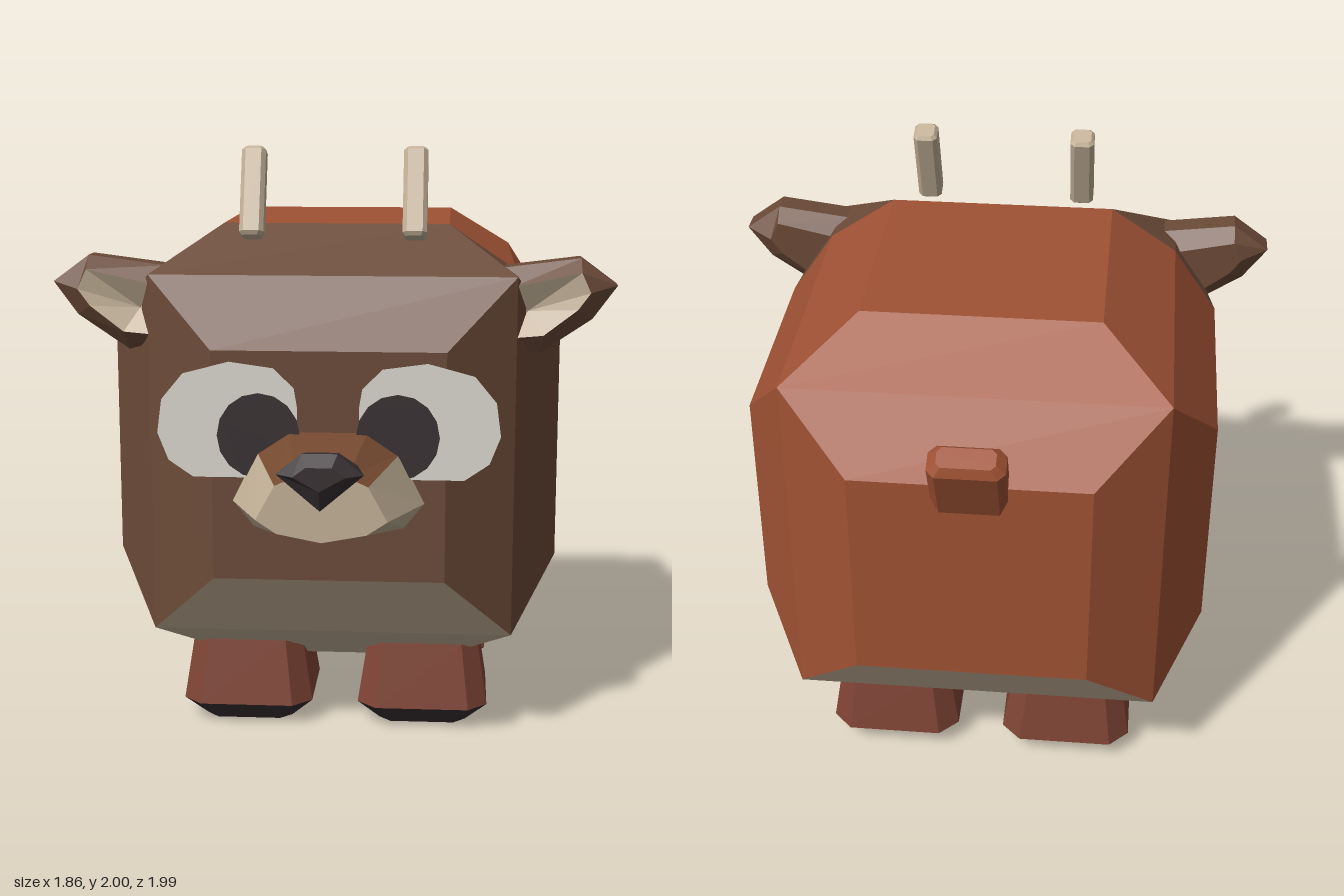
import * as THREE from 'three';

const mat = (name, color, side = THREE.FrontSide) => {
  const m = new THREE.MeshStandardMaterial({ color, side });
  m.name = name;
  return m;
};

export function createModel() {
  const M = {
    coat: mat('rust coat', 0xa05234),
    face: mat('brown face', 0x6b4a38),
    bridge: mat('muzzle brown', 0x74492f),
    cream: mat('cream', 0xc4b298),
    leg: mat('red brown leg', 0x7f4435),
    dark: mat('near black', 0x383032, THREE.DoubleSide),
    white: mat('eye white', 0xdcd8cf, THREE.DoubleSide),
  };
  const model = new THREE.Group();
  model.name = 'animal';

  // One flat-shaded mesh per colour from convex polygons: bins = { colour: [polygon, ...] }
  function build(name, bins) {
    const group = new THREE.Group();
    group.name = name;
    for (const key of Object.keys(bins)) {
      const pos = [];
      for (const p of bins[key])
        for (let i = 1; i < p.length - 1; i++) pos.push(...p[0], ...p[i], ...p[i + 1]);
      const g = new THREE.BufferGeometry();
      g.setAttribute('position', new THREE.Float32BufferAttribute(pos, 3));
      g.computeVertexNormals();
      const mesh = new THREE.Mesh(g, M[key]);
      mesh.name = name + ' ' + M[key].name;
      group.add(mesh);
    }
    model.add(group);
    return group;
  }

  // Skin over counter-clockwise rings stacked along z; pick(section, side) names the colour
  function loft(rings, pick) {
    const bins = {};
    const put = (key, poly) => (bins[key] ??= []).push(poly);
    const n = rings[0].length, last = rings.length - 1;
    for (let i = 0; i < last; i++)
      for (let j = 0; j < n; j++) {
        const k = (j + 1) % n;
        put(pick(i, j), [rings[i][j], rings[i][k], rings[i + 1][k], rings[i + 1][j]]);
      }
    put(pick(-1, 0), [...rings[0]].reverse());
    put(pick(last, 0), rings[last]);
    return bins;
  }
  const ring = (pts, z) => pts.map(([x, y]) => [x, y, z]);

  // Rectangle with cut corners
  const octagon = (w, h, c, z) => ring([
    [w, -h + c], [w, h - c], [w - c, h], [c - w, h],
    [-w, h - c], [-w, c - h], [c - w, -h], [w - c, -h],
  ], z);

  // Upright chamfered post whose base sits at the origin
  const post = (name, rings, pick) => {
    const g = build(name, loft(rings, pick));
    g.children.forEach((m) => m.geometry.rotateX(-Math.PI / 2));
    return g;
  };

  // Body: a cube with a bevelled cap on each side, face colour ahead of a cross plane
  const OUT = 0.757, IN = 0.38, EDGE = 0.605, CENTRE = [0, 0.98, -0.1425];
  const body = {};
  const addBody = (key, poly) => {
    const v = poly.map((p) => new THREE.Vector3(...p));
    const nrm = v[1].clone().sub(v[0]).cross(v[2].clone().sub(v[0]));
    if (nrm.dot(v[0]) < 0) poly.reverse();
    (body[key] ??= []).push(poly.map((p) => p.map((c, i) => c + CENTRE[i])));
  };
  for (let a = 0; a < 3; a++) for (const s of [-1, 1]) {
    const base = a === 2 && s > 0 ? 'face' : a === 1 && s < 0 ? 'cream' : 'coat';
    const at = (b, c, d, u, v) => {
      const p = [0, 0, 0];
      p[a] = s * d; p[b] = u; p[c] = v;
      return p;
    };
    const b0 = (a + 1) % 3, c0 = (a + 2) % 3;
    addBody(base, [[-1, -1], [1, -1], [1, 1], [-1, 1]].map(([u, v]) => at(b0, c0, OUT, u * IN, v * IN)));
    for (const [b, c] of [[b0, c0], [c0, b0]]) for (const t of [-1, 1]) {
      const i0 = at(b, c, OUT, t * IN, -IN), i1 = at(b, c, OUT, t * IN, IN);
      const o0 = at(b, c, EDGE, t * EDGE, -EDGE), o1 = at(b, c, EDGE, t * EDGE, EDGE);
      if (c === 2) {
        const cut = at(b, c, EDGE, t * EDGE, IN);
        addBody('coat', [i0, i1, cut, o0]);
        addBody('face', [i1, cut, o1]);
      } else {
        const front = (a === 2 ? s : b === 2 ? t : 0) > 0;
        const belly = (a === 2 && b === 1 && t < 0) || (a === 1 && s < 0);
        addBody(belly ? 'cream' : front ? 'face' : 'coat', [i0, i1, o1, o0]);
      }
    }
  }
  build('body', body);

  // Legs with dark hooves
  for (const x of [-0.305, 0.305]) for (const z of [0.165, -0.44]) {
    const leg = post(z > 0 ? 'frontLeg' : 'backLeg', [
      octagon(0.15, 0.15, 0.04, 0),
      octagon(0.225, 0.225, 0.065, 0.075),
      octagon(0.19, 0.19, 0.055, 0.3),
    ], (i) => (i < 1 ? 'dark' : 'leg'));
    leg.position.set(x, 0, z);
  }

  // Muzzle: brown bridge above cream cheeks
  const mirrored = (half) => [...half, ...half.slice().reverse().filter(([x]) => x > 0).map(([x, y]) => [-x, y])];
  build('muzzle', loft([
    ring(mirrored([[0, 0.74], [0.25, 0.78], [0.318, 0.865], [0.235, 1.03], [0.13, 1.1]]), 0.6),
    ring(mirrored([[0, 0.805], [0.14, 0.832], [0.205, 0.875], [0.145, 0.985], [0.08, 1.015]]), 0.895),
  ], (i, j) => (i === 0 && j >= 3 && j <= 5 ? 'bridge' : 'cream')));

  // Nose
  build('nose', loft([
    ring(mirrored([[0, 1.0], [0.11, 1.04], [0.05, 1.08]]), 0.84),
    ring(mirrored([[0, 0.92], [0.135, 1.035], [0.055, 1.1]]), 0.95),
    ring(mirrored([[0, 0.99], [0.08, 1.035], [0.04, 1.065]]), 0.99),
  ], () => 'dark'));

  // Eyes: flat plates with a straight lower edge
  const plate = (name, pts, z, material) => {
    const mesh = new THREE.Mesh(new THREE.ShapeGeometry(new THREE.Shape(pts.map((p) => new THREE.Vector2(...p)))), material);
    mesh.name = name;
    mesh.position.z = z;
    model.add(mesh);
  };
  const eyeOutline = [[0.1, 0.945], [0.44, 0.945], [0.52, 1.0], [0.555, 1.09], [0.54, 1.2],
    [0.47, 1.285], [0.32, 1.325], [0.175, 1.305], [0.11, 1.24], [0.1, 1.18]];
  const pupilOutline = Array.from({ length: 16 }, (_, i) => {
    const t = (i / 16) * Math.PI * 2;
    return [0.225 + 0.135 * Math.cos(t), Math.max(0.945, 1.085 + 0.14 * Math.sin(t))];
  });

  // Ear outline, rim and hollow
  const earOutline = [[0.57, 1.36], [0.68, 1.33], [0.85, 1.445], [0.93, 1.555], [0.81, 1.643], [0.55, 1.61]];
  const earRim = [[0.58, 1.385], [0.69, 1.395], [0.8, 1.48], [0.84, 1.535], [0.81, 1.6], [0.58, 1.55]];

  for (const side of [-1, 1]) {
    const flip = (pts) => {
      const r = pts.map(([x, y]) => [x * side, y]);
      return side < 0 ? r.reverse() : r;
    };
    plate('eyeWhite', flip(eyeOutline), 0.621, M.white);
    plate('pupil', flip(pupilOutline), 0.628, M.dark);

    const rim = flip(earRim), outer = flip(earOutline);
    const ear = loft([ring(rim, 0.28), ring(outer, 0.33), ring(outer, 0.41), ring(rim, 0.46)],
      (i) => (i === 3 ? 'cream' : 'face'));
    const hollow = [0.64 * side, 1.47, 0.415];
    const edge = ring(rim, 0.46);
    ear.cream = edge.map((p, i) => [hollow, p, edge[(i + 1) % edge.length]]);
    build('ear', ear);

    // Horn leaning back
    const horn = post('horn', [
      octagon(0.03, 0.03, 0.01, 0), octagon(0.04, 0.04, 0.014, 0.012),
      octagon(0.04, 0.04, 0.014, 0.292), octagon(0.03, 0.03, 0.01, 0.304),
    ], () => 'cream');
    horn.position.set(0.268 * side, 1.703, 0.39);
    horn.rotation.x = -0.373;
  }

  // Tail
  const tail = post('tail', [
    octagon(0.1, 0.04, 0.02, 0), octagon(0.12, 0.055, 0.025, 0.03),
    octagon(0.12, 0.055, 0.025, 0.27), octagon(0.09, 0.035, 0.015, 0.3),
  ], () => 'coat');
  tail.position.set(0, 1.24, -0.83);
  tail.rotation.x = -0.45;

  return model;
}
